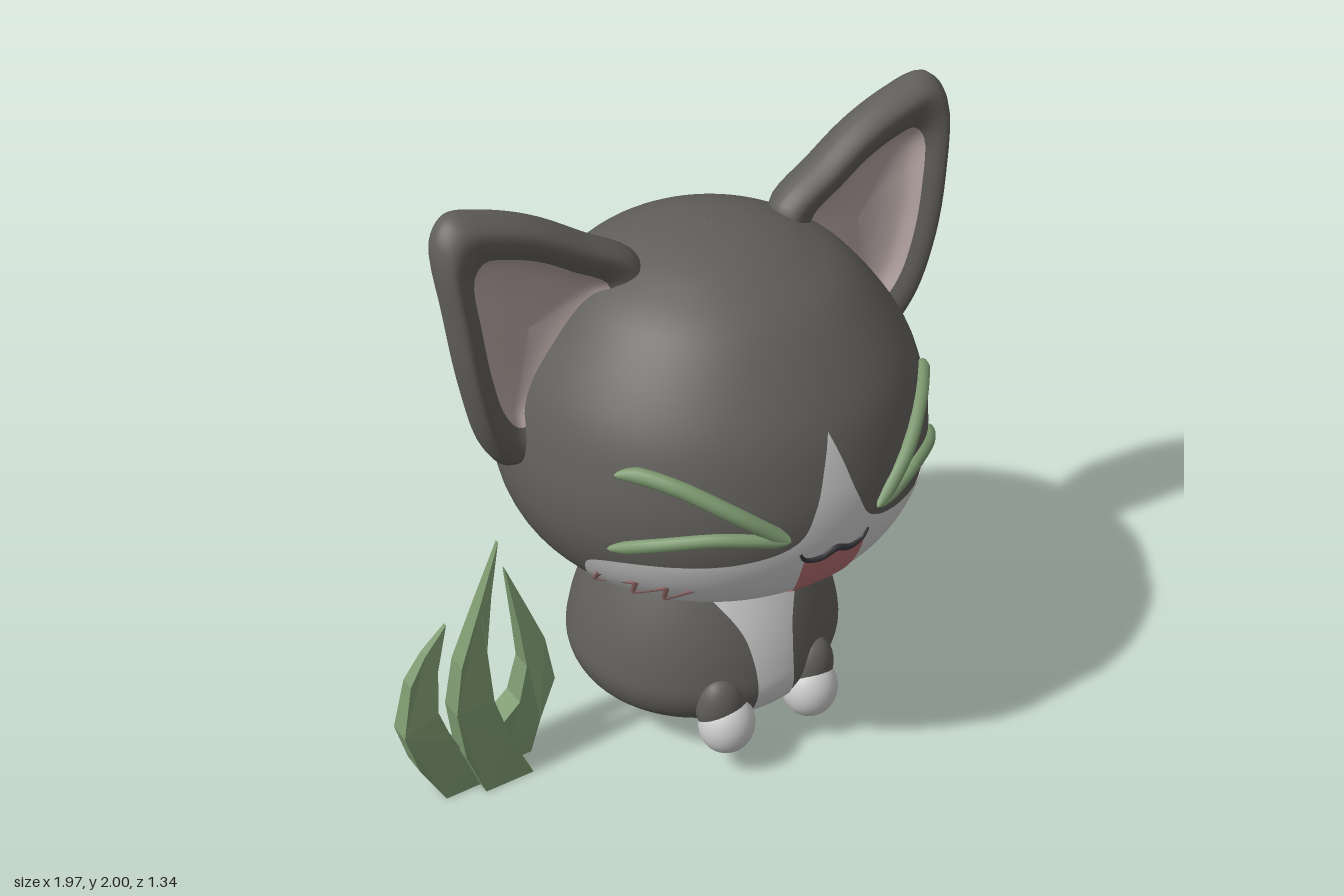
import * as THREE from 'three';

const DARK = 0x605e5a, WHITE = 0xc4c4c4, GREEN = 0x7d9970;
const V = (x, y, z = 0) => new THREE.Vector3(x, y, z);

function mesh(name, geometry, color, extra = {}) {
  const m = new THREE.Mesh(geometry, new THREE.MeshStandardMaterial({ color, ...extra }));
  m.name = name;
  return m;
}

const spline2 = (pts, n) => new THREE.SplineCurve(pts.map(p => new THREE.Vector2(...p))).getPoints(n);

// radius of a turned profile at height y
function radiusAt(profile, y) {
  for (let i = 1; i < profile.length; i++) {
    const a = profile[i - 1], b = profile[i];
    if (y <= b.y && b.y > a.y) return a.x + (b.x - a.x) * Math.max(0, (y - a.y) / (b.y - a.y));
  }
  return 0;
}

// grid of points to a smooth surface; closed joins the last column to the first
function gridGeometry(rows, closed, flip) {
  const n = rows[0].length, pos = rows.flat().flatMap(p => [p.x, p.y, p.z]), idx = [];
  for (let i = 0; i < rows.length - 1; i++) {
    for (let j = 0; j < (closed ? n : n - 1); j++) {
      const k = (j + 1) % n, a = i * n + j, b = a + n, c = i * n + k, d = c + n;
      if (flip) idx.push(a, c, b, b, c, d);
      else idx.push(a, b, c, b, d, c);
    }
  }
  const g = new THREE.BufferGeometry();
  g.setAttribute('position', new THREE.Float32BufferAttribute(pos, 3));
  g.setIndex(idx);
  g.computeVertexNormals();
  return g;
}

// marking that hugs a turned surface; rows are [half angle, y] from top to bottom
function patch(profile, rows, offset) {
  const grid = spline2(rows, 48).map(({ x: half, y }) => {
    const r = radiusAt(profile, y) + offset, line = [];
    for (let j = 0; j <= 32; j++) {
      const t = Math.max(half, 0) * (j / 16 - 1);
      line.push(V(r * Math.sin(t), y, r * Math.cos(t)));
    }
    return line;
  });
  return gridGeometry(grid, false, false);
}

// round tube whose radius varies along the path
function sweep(curve, radius, segments = 40, sides = 20) {
  const g = new THREE.TubeGeometry(curve, segments, 1, sides), p = g.attributes.position;
  for (let i = 0; i <= segments; i++) {
    const c = curve.getPointAt(i / segments), r = radius(i / segments);
    for (let j = 0; j <= sides; j++) {
      const k = i * (sides + 1) + j, v = V(0, 0).fromBufferAttribute(p, k).sub(c).multiplyScalar(r).add(c);
      p.setXYZ(k, v.x, v.y, v.z);
    }
  }
  return g;
}

function ellipsoid(rx, ry, rz) {
  return new THREE.SphereGeometry(1, 32, 24).scale(rx, ry, rz);
}

const headProfile = spline2([[0.001, 0.655], [0.25, 0.668], [0.38, 0.7], [0.5, 0.765], [0.59, 0.85], [0.645, 0.96],
  [0.665, 1.08], [0.65, 1.22], [0.585, 1.4], [0.43, 1.6], [0.28, 1.7], [0.14, 1.75], [0.001, 1.765]], 80);
const bodyProfile = spline2([[0.001, 0.07], [0.18, 0.078], [0.31, 0.115], [0.41, 0.185], [0.45, 0.27],
  [0.442, 0.36], [0.41, 0.47], [0.36, 0.58], [0.3, 0.68], [0.24, 0.74]], 60);

// path of (x, y) points laid on the head
function onHead(points, lift, type = 'centripetal') {
  return new THREE.CatmullRomCurve3(points.map(([x, y]) => {
    const r = radiusAt(headProfile, y);
    return V(x, y, Math.sqrt(Math.max(r * r - x * x, 0.001))).multiply(V(1 + lift, 1, 1 + lift));
  }), false, type);
}

function buildHead() {
  const head = new THREE.Group();
  head.name = 'head';
  head.add(mesh('skull', new THREE.LatheGeometry(headProfile, 72), DARK));
  head.add(mesh('muzzleMarking', patch(headProfile, [[0, 1.38], [0.05, 1.29], [0.11, 1.17], [0.2, 1.07], [0.45, 1.025],
    [0.9, 1.0], [1.13, 0.96], [1.2, 0.9], [1.24, 0.8], [1.26, 0.68]], 0.004), WHITE, { side: THREE.DoubleSide }));
  head.add(mesh('openMouth', patch(headProfile, [[0.16, 0.995], [0.165, 0.93], [0.155, 0.85], [0.13, 0.79],
    [0.08, 0.755], [0, 0.74]], 0.009), 0xb56f6f, { side: THREE.DoubleSide }));
  const lip = onHead([[-0.12, 1.03], [-0.1, 1.0], [-0.05, 0.99], [0, 1.01], [0.05, 0.99], [0.1, 1.0], [0.12, 1.03]], 0.008);
  head.add(mesh('upperLip', sweep(lip, t => 0.012 * Math.sin(Math.PI * (0.1 + 0.8 * t)), 40, 10), 0x35353a));

  for (const s of [-1, 1]) {
    const side = s > 0 ? 'left' : 'right';
    // squeezed-shut eye: two brush strokes meeting near the nose
    const strokes = {
      UpperLid: [[0.54, 1.28], [0.5, 1.295], [0.42, 1.275], [0.3, 1.2], [0.15, 1.085]],
      LowerLid: [[0.57, 1.035], [0.48, 1.09], [0.35, 1.12], [0.25, 1.11], [0.15, 1.085]],
    };
    for (const [part, pts] of Object.entries(strokes)) {
      const path = onHead(pts.map(([x, y]) => [s * x, y]), 0.008);
      const size = part === 'UpperLid' ? 0.025 : 0.021;
      head.add(mesh(side + part, sweep(path, t => size * Math.min(1, Math.sqrt(8 * t), Math.sqrt(10 * (1 - t))), 40, 10), GREEN));
    }
    // blush zigzag
    const zig = [];
    for (let i = 0; i <= 6; i++) zig.push([s * (0.38 + i * 0.03), i % 2 ? 0.82 : 0.91]);
    const blush = new THREE.CurvePath();
    const dots = onHead(zig, 0.002).points;
    for (let i = 1; i < dots.length; i++) blush.add(new THREE.LineCurve3(dots[i - 1], dots[i]));
    head.add(mesh(side + 'Blush', sweep(blush, () => 0.011, 72, 8), 0x9c7474));
    head.add(buildEar(s, side));
  }
  return head;
}

// ear: one outline shrunk towards its middle while depth follows a profile
function buildEar(s, side) {
  const outline = [[-0.81, 2.0], [-0.865, 1.94], [-0.855, 1.7], [-0.82, 1.45], [-0.76, 1.24], [-0.68, 1.14], [-0.57, 1.19],
    [-0.42, 1.4], [-0.27, 1.6], [-0.24, 1.72], [-0.41, 1.84], [-0.56, 1.93], [-0.71, 1.985]];
  const loop = new THREE.CatmullRomCurve3(outline.map(p => V(...p)), true).getPoints(64).slice(0, 64);
  const ring = (scale, depth) => {
    const pts = loop.map(p => {
      const x = -0.58 + (p.x + 0.58) * scale, y = 1.57 + (p.y - 1.57) * scale;
      return V(-s * x, y, depth - 0.03 - 0.05 * ((y - 1.55) / 0.45) ** 2);
    });
    return s > 0 ? pts.reverse() : pts;
  };
  const loft = (profile, n) => gridGeometry(spline2(profile, n).map(p => ring(Math.min(p.x, 1), p.y)), true, true);
  const ear = new THREE.Group();
  ear.name = side + 'Ear';
  ear.add(mesh('earShell', loft([[0, -0.23], [0.4, -0.2], [0.7, -0.135], [0.9, -0.065], [1, 0], [0.98, 0.045],
    [0.9, 0.078], [0.78, 0.072], [0.67, 0.045]], 40), DARK));
  ear.add(mesh('innerEar', loft([[0.67, 0.045], [0.55, 0.005], [0.3, -0.02], [0, -0.03]], 14), 0xb3a3a1));
  return ear;
}

function buildBody() {
  const body = new THREE.Group();
  body.name = 'body';
  const torso = new THREE.Group();
  torso.name = 'torso';
  torso.scale.z = 0.94;
  torso.position.z = -0.03;
  torso.add(mesh('torsoSkin', new THREE.LatheGeometry(bodyProfile, 64), DARK));
  torso.add(mesh('chestMarking', patch(bodyProfile, [[0.75, 0.69], [0.42, 0.59], [0.24, 0.5], [0.17, 0.4], [0.15, 0.3],
    [0.17, 0.2], [0.25, 0.115], [0.35, 0.085]], 0.004), WHITE, { side: THREE.DoubleSide }));
  body.add(torso);

  // front legs with white paws
  for (const s of [-1, 1]) {
    const leg = mesh('frontLeg', ellipsoid(0.085, 0.125, 0.075), DARK);
    leg.position.set(s * 0.165, 0.235, 0.33);
    leg.rotation.set(0.1, 0, -s * 0.2);
    const paw = mesh('paw', ellipsoid(0.092, 0.102, 0.088), WHITE);
    paw.position.set(s * 0.16, 0.18, 0.355);
    body.add(leg, paw);
  }

  // tail curls out to the side, with a white tip
  const path = new THREE.CatmullRomCurve3([V(-0.1, 0.2, -0.34), V(0.14, 0.23, -0.38), V(0.34, 0.29, -0.39),
    V(0.48, 0.39, -0.385), V(0.59, 0.52, -0.375), V(0.685, 0.725, -0.38)]);
  const part = (a, b) => {
    const pts = [];
    for (let i = 0; i <= 12; i++) pts.push(path.getPointAt(a + (b - a) * i / 12));
    return new THREE.CatmullRomCurve3(pts);
  };
  const split = 0.77;
  body.add(mesh('tail', sweep(part(0, split), t => 0.04 + 0.066 * Math.min(1, t * 1.6)), DARK));
  body.add(mesh('tailTip', sweep(part(split, 1), t => 0.106 * Math.sqrt(Math.max(0, 1 - t ** 2.6))), WHITE));
  return body;
}

// flat-sided grass blades, thinner towards the tip
function buildGrass() {
  const grass = new THREE.Group();
  grass.name = 'grass';
  const blades = [
    [-0.08, [[-0.87, 0], [-0.74, 0], [-0.77, 0.12], [-0.83, 0.22], [-0.87, 0.35], [-0.855, 0.5], [-0.81, 0.65],
      [-0.89, 0.57], [-0.95, 0.48], [-0.99, 0.3], [-0.95, 0.15]]],
    [-0.04, [[-0.75, 0], [-0.58, 0], [-0.65, 0.17], [-0.7, 0.35], [-0.71, 0.55], [-0.68, 0.74], [-0.64, 0.92],
      [-0.72, 0.72], [-0.8, 0.52], [-0.83, 0.35], [-0.81, 0.17]]],
    [-0.125, [[-0.64, 0], [-0.54, 0], [-0.5, 0.12], [-0.44, 0.26], [-0.465, 0.43], [-0.52, 0.58], [-0.58, 0.74],
      [-0.55, 0.5], [-0.535, 0.35], [-0.57, 0.22], [-0.65, 0.15]]],
  ];
  for (const [z, pts] of blades) {
    const shape = new THREE.Shape(pts.map(p => new THREE.Vector2(...p)));
    const g = new THREE.ExtrudeGeometry(shape, { depth: 0.09, bevelEnabled: false });
    const p = g.attributes.position, top = Math.max(...pts.map(q => q[1]));
    for (let i = 0; i < p.count; i++) {
      const taper = 1 - 0.85 * (p.getY(i) / top) ** 2;
      p.setZ(i, z + 0.045 + (p.getZ(i) - 0.045) * taper);
    }
    g.computeVertexNormals();
    grass.add(mesh('grassBlade', g, GREEN, { flatShading: true }));
  }
  return grass;
}

export function createModel() {
  const model = new THREE.Group();
  model.name = 'kittenWithGrass';
  const kitten = new THREE.Group();
  kitten.name = 'kitten';
  kitten.position.x = 0.112;
  kitten.add(buildHead(), buildBody());
  model.add(kitten, buildGrass());
  return model;
}
